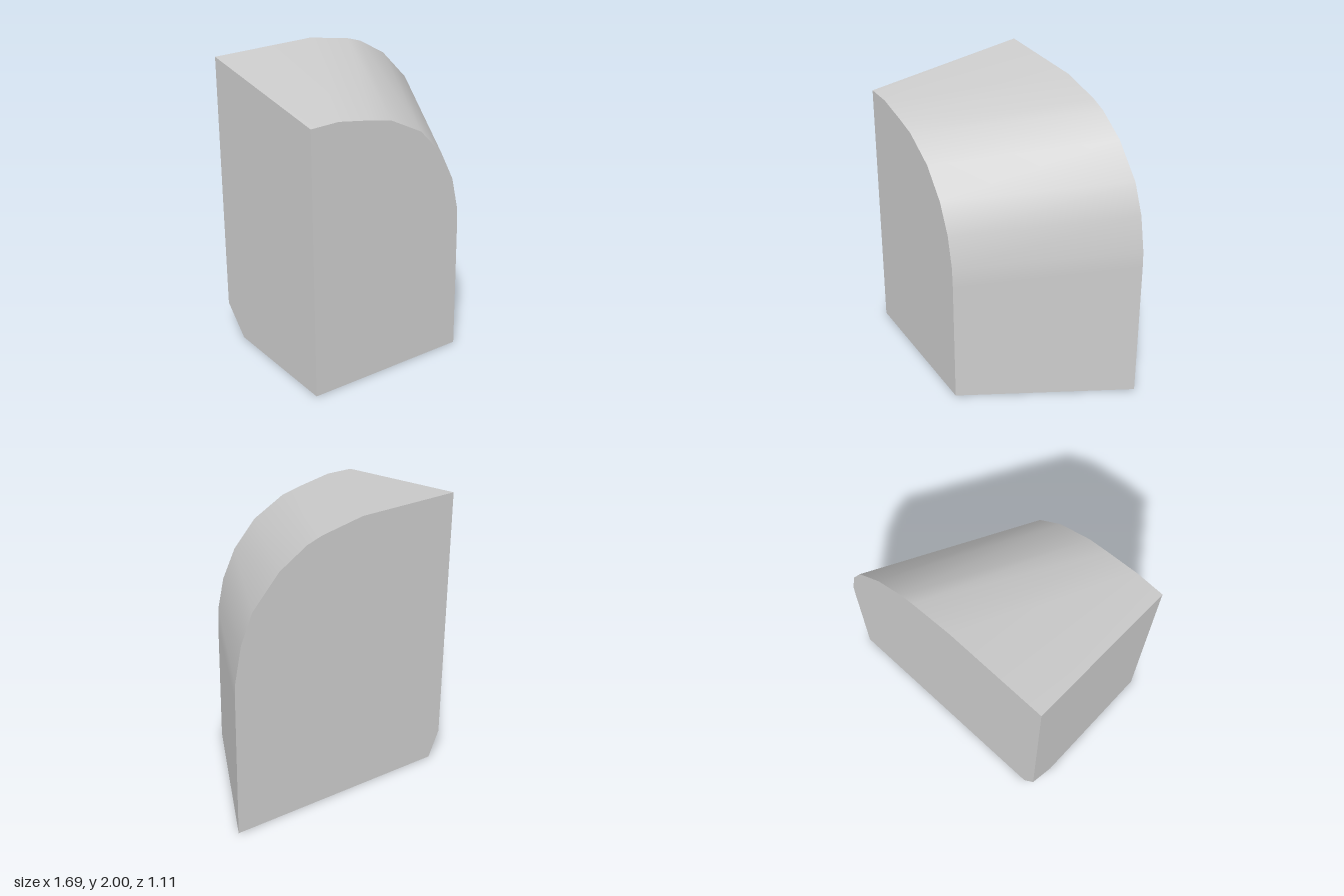
import * as THREE from 'three';

const Z = 0.555, L = -0.845;

// Profiles run from the top left corner, over the shoulder, down to the right foot
const backProfile = [[L, 2], [-0.11, 2], [0.2, 1.942], [0.31, 1.905], [0.51, 1.782],
  [0.708, 1.565], [0.793, 1.363], [0.841, 1.114], [0.845, 1], [0.845, 0]];
const frontProfile = [[L, 1.84], [-0.645, 1.843], [-0.406, 1.8], [-0.257, 1.767], [-0.02, 1.64],
  [0.15, 1.453], [0.247, 1.252], [0.294, 1.034], [0.3, 0.89], [0.3, 0]];

function buildGeometry(points, index) {
  const g = new THREE.BufferGeometry();
  g.setAttribute('position', new THREE.Float32BufferAttribute(points.flat(), 3));
  g.setIndex(index);
  g.computeVertexNormals();
  return g;
}

// Flat convex face, corners counter-clockwise from outside
function flatFace(points) {
  const index = [];
  for (let i = 1; i < points.length - 1; i++) index.push(0, i, i + 1);
  return buildGeometry(points, index);
}

// Smooth skin joining the back and front profiles
function loft(back, front) {
  const n = back.length, index = [];
  for (let i = 0; i < n - 1; i++) {
    index.push(i, n + i, n + i + 1, i, n + i + 1, i + 1);
  }
  return buildGeometry([...back, ...front], index);
}

export function createModel() {
  const group = new THREE.Group();
  group.name = 'roundedWedgeBlock';
  const grey = new THREE.MeshStandardMaterial({ color: 0xcccccc });
  grey.name = 'grey';
  const add = (name, geometry) => {
    const mesh = new THREE.Mesh(geometry, grey);
    mesh.name = name;
    group.add(mesh);
  };

  const back = backProfile.map(([x, y]) => [x, y, -Z]);
  const front = frontProfile.map(([x, y]) => [x, y, Z]);

  // Corner cut at the rear bottom, one point on each of the three edges
  const cutBack = [L + 0.08, 0, -Z];
  const cutSide = [L, 0, -Z + 0.195];
  const cutUp = [L, 0.19, -Z];
  const frontFoot = [L, 0, Z];

  add('curvedSkin', loft(back, front));
  add('frontFace', flatFace([frontFoot, ...front.slice().reverse()]));
  add('backFace', flatFace([...back, cutBack, cutUp]));
  add('sideFace', flatFace([cutUp, cutSide, frontFoot, front[0], back[0]]));
  add('bottomFace', flatFace([cutBack, back.at(-1), front.at(-1), frontFoot, cutSide]));
  add('cutCorner', flatFace([cutBack, cutSide, cutUp]));

  return group;
}
